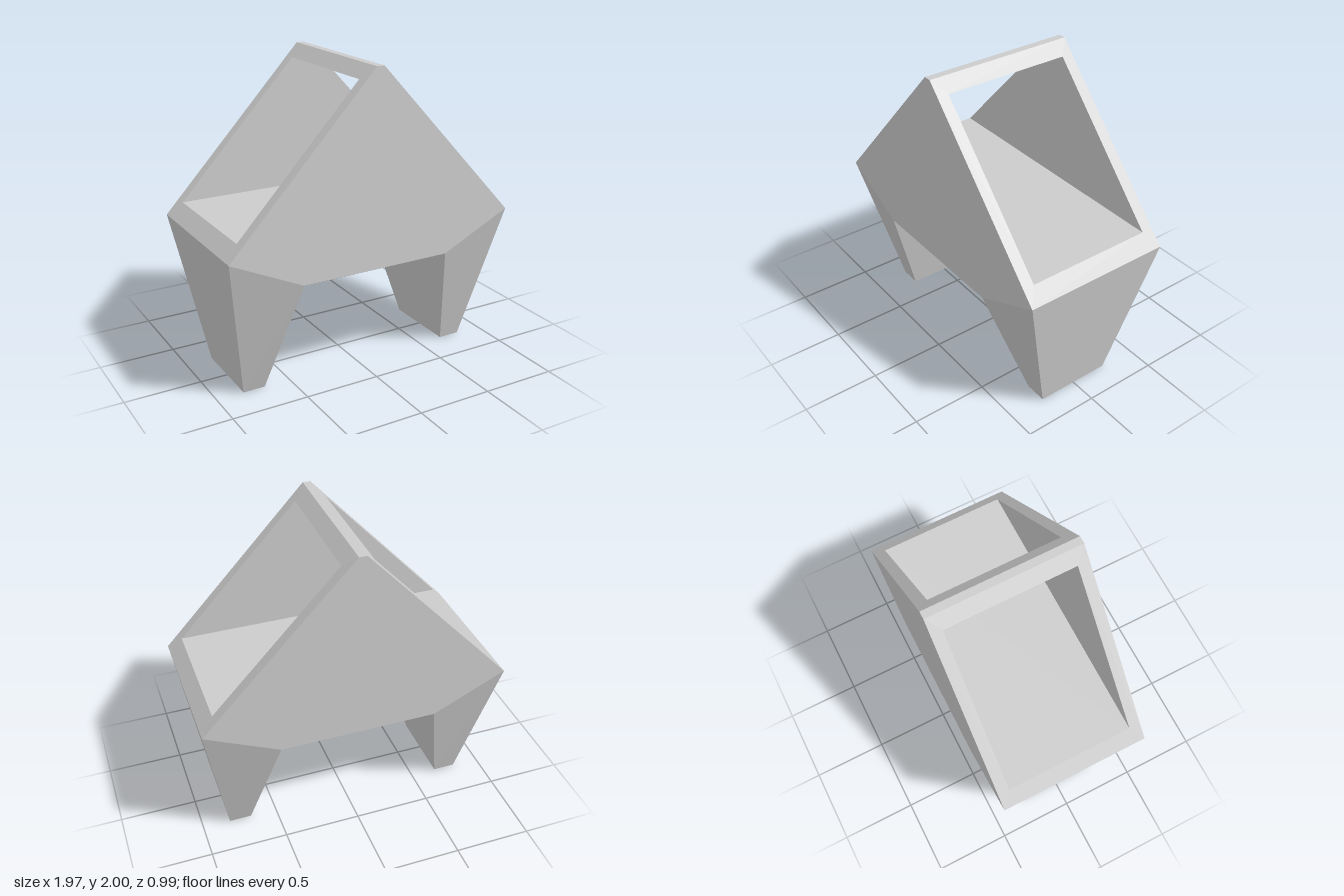
import * as THREE from 'three';

const material = new THREE.MeshStandardMaterial({ color: 0xcccccc, flatShading: true });
const D = 0.495; // half depth of the body
const W = 0.42; // half depth of the opening
const RIDGE = [0.025, 2], EAVE = [0.985, 0.97], HIP = [0.51, 0.745];
const SILL = [0.9, 1.06], HEAD = [0.1, 1.92];

// Flat-shaded mesh from four-cornered faces, corners counter-clockwise from outside
function faces(name, quads) {
  const pos = quads.flatMap(([a, b, c, d]) => [a, b, c, a, c, d].flat());
  const g = new THREE.BufferGeometry();
  g.setAttribute('position', new THREE.Float32BufferAttribute(pos, 3));
  g.computeVertexNormals();
  const mesh = new THREE.Mesh(g, material);
  mesh.name = name;
  return mesh;
}

// Loop of four points: lower profile point front and back, then the upper one back and front
const loop = (p, q, zp, zq = zp) => [[...p, zp], [...p, -zp], [...q, -zq], [...q, zq]];

// Band of faces joining two four-point loops
const band = (a, b) => a.map((p, i) => [p, a[(i + 1) % 4], b[(i + 1) % 4], b[i]]);

// Horizontal rectangle facing up or down
function level(name, halfX, y, halfZ, up) {
  const r = [[-halfX, y, halfZ], [halfX, y, halfZ], [halfX, y, -halfZ], [-halfX, y, -halfZ]];
  return faces(name, [up ? r : r.reverse()]);
}

// Everything that repeats after half a turn about the vertical axis
function createHalf(name) {
  const half = new THREE.Group();
  half.name = name;

  // Solid gable wall
  const outline = [RIDGE, EAVE, HIP].map(([x, y]) => new THREE.Vector2(x, y));
  const mirrored = outline.map((p) => new THREE.Vector2(-p.x, p.y)).reverse();
  const gable = new THREE.Mesh(new THREE.ShapeGeometry(new THREE.Shape([...outline, ...mirrored])), material);
  gable.position.z = D;
  gable.name = 'gableWall';
  half.add(gable);

  // Sloping frame round the opening
  half.add(faces('slopeFrame', band(loop(EAVE, RIDGE, D), loop(SILL, HEAD, W))));

  // Inner face of the gable wall
  half.add(faces('innerWall', [[
    [SILL[0], SILL[1], W], [-SILL[0], SILL[1], W], [-HEAD[0], HEAD[1], W], [HEAD[0], HEAD[1], W],
  ]]));

  // Tapered leg with its sole
  const foot = loop([0.82, 0], [0.675, 0], 0.255);
  half.add(faces('leg', [...band(foot, loop(EAVE, HIP, D)), [...foot].reverse()]));
  return half;
}

export function createModel() {
  const model = new THREE.Group();
  model.name = 'gabledShelter';
  const frontHalf = createHalf('frontRightHalf');
  const backHalf = createHalf('backLeftHalf');
  backHalf.rotation.y = Math.PI;
  model.add(frontHalf, backHalf);

  // Level faces: ridge top, lintel under the ridge, floor and belly
  model.add(level('ridgeTop', RIDGE[0], RIDGE[1], D, true));
  model.add(level('ridgeUnderside', HEAD[0], HEAD[1], W, false));
  model.add(level('floor', SILL[0], SILL[1], W, true));
  model.add(level('belly', HIP[0], HIP[1], D, false));
  return model;
}
